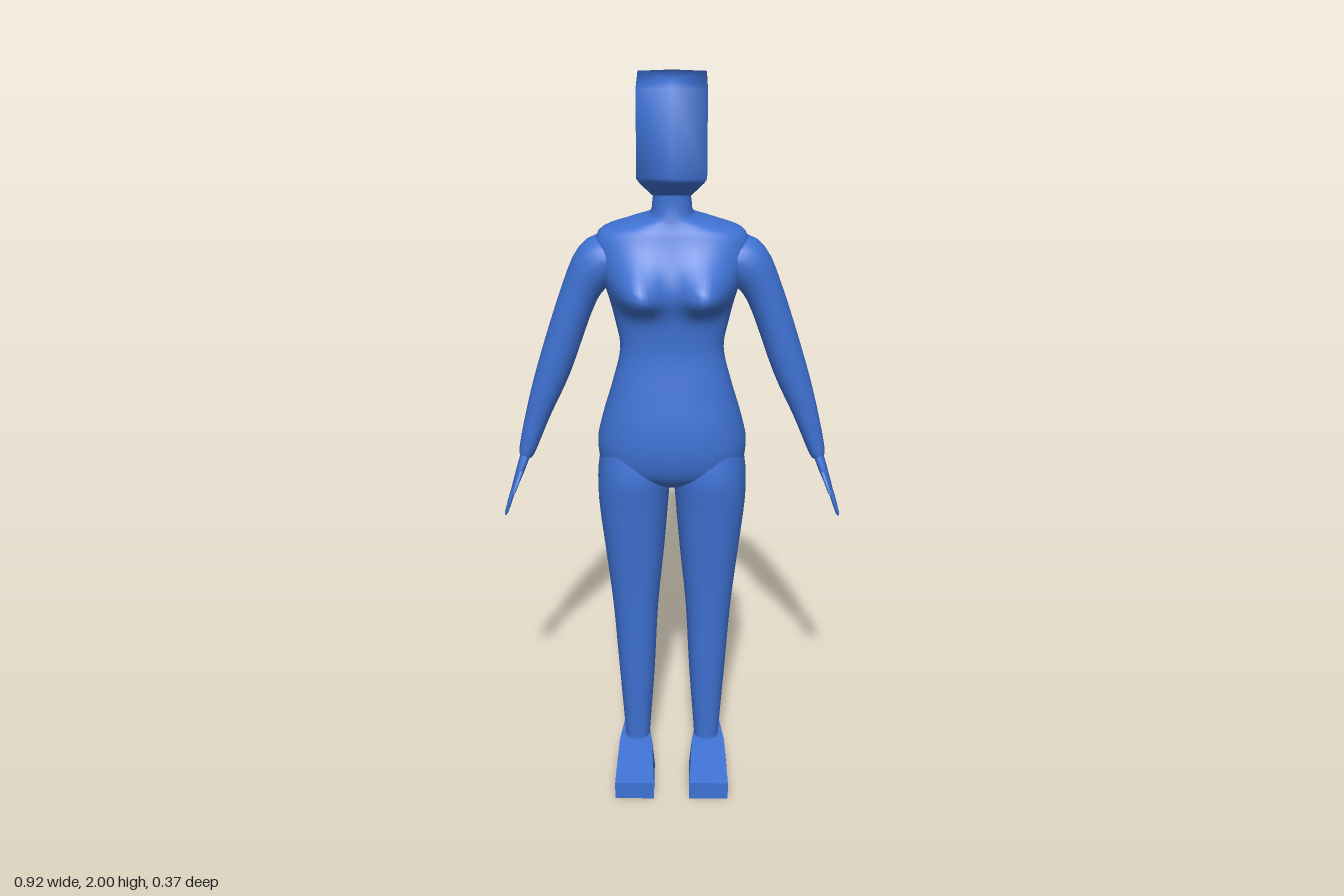
import * as THREE from 'three';

const blue = new THREE.MeshStandardMaterial({ color: 0x3f72d4 });
blue.name = 'blue';

// Rounded unit cross-section; a higher power makes it squarer
function oval(n, power = 2) {
  return Array.from({ length: n }, (_, i) => {
    const a = (i / n) * Math.PI * 2, c = Math.cos(a), s = Math.sin(a);
    return [c, s].map(v => Math.sign(v) * Math.abs(v) ** (2 / power));
  });
}

// Smooth in-between rows through the given rows
function refine(rows, steps) {
  const out = [];
  for (let i = 0; i < rows.length - 1; i++) {
    const p0 = rows[Math.max(i - 1, 0)], p1 = rows[i], p2 = rows[i + 1];
    const p3 = rows[Math.min(i + 2, rows.length - 1)];
    for (let k = 0; k < steps; k++) {
      const t = k / steps;
      out.push(p1.map((b, j) => b + 0.5 * t * (p2[j] - p0[j]
        + t * (2 * p0[j] - 5 * b + 4 * p2[j] - p3[j]
        + t * (3 * (b - p2[j]) + p3[j] - p0[j])))));
    }
  }
  out.push(rows[rows.length - 1]);
  return out;
}

// Skin over rows, top to bottom: [x, y, halfWidth, zFront, zBack, tilt]
function loft(rows, section, rule) {
  const n = section.length, pos = [], idx = [];
  for (const [x, y, r, zf, zb, tilt = 0] of rows) {
    for (const [u, v] of section) {
      const p = new THREE.Vector3(x + u * r * Math.cos(tilt), y + u * r * Math.sin(tilt),
        (zf + zb) / 2 + v * (zf - zb) / 2);
      if (rule) rule(p, v);
      pos.push(p.x, p.y, p.z);
    }
  }
  const last = rows.length - 1, top = rows.length * n, bottom = top + 1;
  for (const [x, y, , zf, zb] of [rows[0], rows[last]]) pos.push(x, y, (zf + zb) / 2);
  for (let j = 0; j < n; j++) {
    const k = (j + 1) % n;
    for (let i = 0; i < last; i++) {
      const a = i * n + j, b = i * n + k;
      idx.push(a, b, a + n, b, b + n, a + n);
    }
    idx.push(top, k, j, bottom, last * n + j, last * n + k);
  }
  const g = new THREE.BufferGeometry();
  g.setAttribute('position', new THREE.Float32BufferAttribute(pos, 3));
  g.setIndex(idx);
  g.computeVertexNormals();
  return g;
}

function mirrored(geometry) {
  const g = geometry.clone().scale(-1, 1, 1), ix = g.index;
  for (let i = 0; i < ix.count; i += 3) {
    const a = ix.getX(i);
    ix.setX(i, ix.getX(i + 1));
    ix.setX(i + 1, a);
  }
  g.computeVertexNormals();
  return g;
}

export function createModel() {
  const model = new THREE.Group();
  model.name = 'figure';
  const add = (name, geometry, parent = model) => {
    const mesh = new THREE.Mesh(geometry, blue);
    mesh.name = name;
    parent.add(mesh);
  };
  const addPair = (name, geometry) => {
    add('left' + name, geometry);
    add('right' + name, mirrored(geometry));
  };

  // Blocky head with a tapered jaw and a slight ridge at the back
  add('head', loft([
    [0, 2, 0.087, 0.08, -0.14],
    [0, 1.78, 0.087, 0.08, -0.14],
    [0, 1.765, 0.08, 0.067, -0.13],
    [0, 1.72, 0.048, 0.02, -0.09],
  ], [[1, 1], [0, 1], [-1, 1], [-1, -0.86], [0, -1], [1, -0.86]]));

  // Neck, chest, waist and hips in one skin
  const torsoRows = [
    [0, 1.745, 0.045, 0.018, -0.088],
    [0, 1.69, 0.05, 0.02, -0.095],
    [0, 1.657, 0.06, 0.027, -0.105],
    [0, 1.638, 0.12, 0.033, -0.113],
    [0, 1.608, 0.19, 0.045, -0.125],
    [0, 1.53, 0.192, 0.07, -0.148],
    [0, 1.45, 0.168, 0.078, -0.16],
    [0, 1.38, 0.15, 0.072, -0.142],
    [0, 1.3, 0.136, 0.07, -0.11],
    [0, 1.2, 0.158, 0.085, -0.127],
    [0, 1.1, 0.186, 0.1, -0.16],
    [0, 1.02, 0.2, 0.1, -0.186],
    [0, 0.955, 0.18, 0.08, -0.155],
    [0, 0.915, 0.1, 0.035, -0.09],
  ];
  add('torso', loft(refine(torsoRows, 5), oval(48, 2.3), (p, v) => {
    const y = (p.y - 1.475) / (p.y > 1.475 ? 0.07 : 0.045);
    const x = (Math.abs(p.x) - 0.085) / 0.06;
    if (v > 0) p.z += 0.073 * Math.exp(-x * x - y * y) * Math.min(1, v * 1.5);
    const low = THREE.MathUtils.clamp((1.03 - p.y) / 0.08, 0, 1);
    if (v < 0) p.z += 0.03 * low * Math.exp(-((p.x / 0.03) ** 2));
  }));

  // Legs
  addPair('Leg', loft(refine([
    [0.1, 1.04, 0.085, 0.07, -0.14],
    [0.102, 0.95, 0.098, 0.086, -0.16],
    [0.105, 0.85, 0.095, 0.074, -0.128],
    [0.103, 0.7, 0.081, 0.058, -0.11],
    [0.102, 0.52, 0.063, 0.041, -0.092],
    [0.1, 0.3, 0.05, 0.028, -0.085],
    [0.1, 0.1, 0.036, 0.013, -0.065],
    [0.1, 0.06, 0.036, 0.013, -0.065],
  ], 3), oval(24, 2.2)));

  // Wedge feet, lower at the toe and narrower at the heel
  const foot = new THREE.BoxGeometry(0.11, 1, 0.28, 1, 1, 2);
  const fp = foot.attributes.position;
  for (let i = 0; i < fp.count; i++) {
    const row = Math.round(fp.getZ(i) / 0.14) + 1, up = fp.getY(i) > 0;
    fp.setZ(i, [up ? -0.083 : -0.097, 0.015, 0.184][row]);
    fp.setX(i, 0.105 + fp.getX(i) * [0.75, 1, 1][row] * (up && row < 2 ? 0.85 : 1));
    fp.setY(i, up ? [0.085, 0.085, 0.053][row] : 0);
  }
  foot.setIndex(foot.index);
  foot.computeVertexNormals();
  addPair('Foot', foot);

  // Arms, starting inside the shoulders
  addPair('Arm', loft(refine([
    [0.1, 1.555, 0.05, 0.02, -0.12, 1.25],
    [0.185, 1.53, 0.066, 0.028, -0.112, 1.0],
    [0.24, 1.445, 0.05, 0.015, -0.1, 0.5],
    [0.312, 1.235, 0.045, 0.005, -0.087, 0.33],
    [0.36, 1.1, 0.033, -0.005, -0.08, 0.33],
    [0.394, 0.99, 0.022, -0.012, -0.07, 0.33],
    [0.398, 0.978, 0.012, -0.02, -0.06, 0.33],
  ], 4), oval(20)));

  // Flat palms
  addPair('Palm', loft(refine([
    [0.393, 0.995, 0.014, -0.018, -0.064, 0.33],
    [0.41, 0.945, 0.012, -0.002, -0.078, 0.33],
    [0.43, 0.888, 0.008, -0.002, -0.08, 0.33],
  ], 3), oval(16, 2.6)));

  // Fingers and thumb: base x, y, z, then tip x, y, z
  [
    ['IndexFinger', 0.427, 0.9, -0.012, 0.456, 0.812, -0.003],
    ['MiddleFinger', 0.427, 0.9, -0.031, 0.459, 0.8, -0.03],
    ['RingFinger', 0.427, 0.9, -0.051, 0.456, 0.81, -0.055],
    ['LittleFinger', 0.427, 0.9, -0.07, 0.444, 0.842, -0.08],
    ['Thumb', 0.408, 0.945, -0.012, 0.428, 0.895, 0.038],
  ].forEach(([name, x, y, z, tx, ty, tz]) => {
    const rows = [[0, 1], [0.55, 0.95], [0.92, 0.75], [1, 0.3]].map(([t, w]) => {
      const c = z + (tz - z) * t, d = 0.0085 * w;
      return [x + (tx - x) * t, y + (ty - y) * t, 0.006 * w, c + d, c - d, 0.33];
    });
    addPair(name, loft(rows, oval(8)));
  });

  return model;
}
